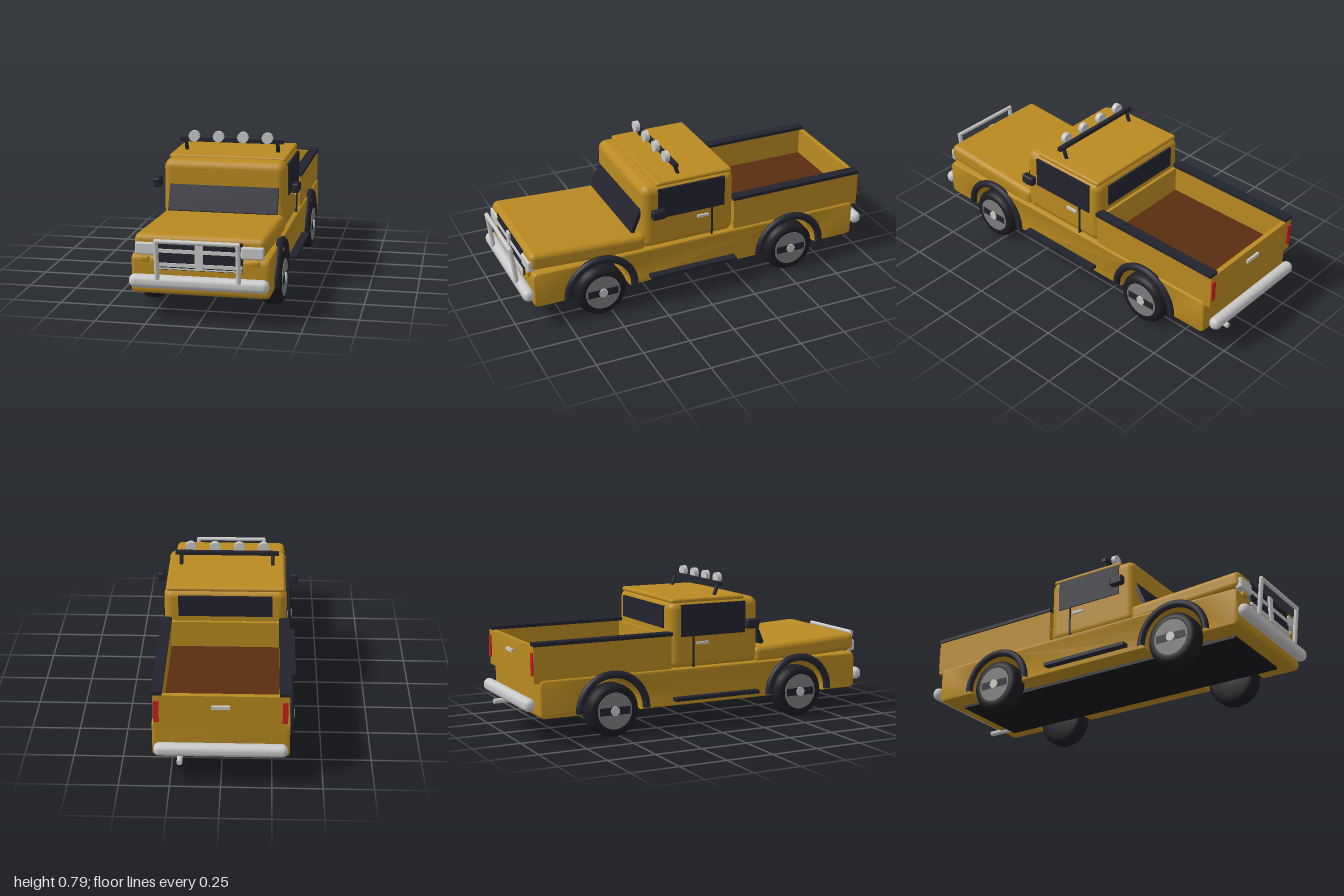
import * as THREE from 'three';
import { toCreasedNormals } from 'three/addons/utils/BufferGeometryUtils.js';
import { RoundedBoxGeometry } from 'three/addons/geometries/RoundedBoxGeometry.js';

const mat = (name, color) => {
  const m = new THREE.MeshStandardMaterial({ color });
  m.name = name;
  return m;
};

export function createModel() {
  const truck = new THREE.Group();
  truck.name = 'pickupTruck';
  const paint = mat('goldPaint', 0xb98a20);
  const dark = mat('darkTrim', 0x23232f);
  const rubber = mat('tyreRubber', 0x1c1c22);
  const under = mat('underside', 0x17171c);
  const silver = mat('silver', 0xc8c8c8);
  const rimGrey = mat('rimGrey', 0x7c7c7e);
  const wood = mat('bedBrown', 0x5a2d10);
  const red = mat('tailRed', 0xcc1f1f);

  const add = (name, geo, m, x = 0, y = 0, z = 0, parent = truck) => {
    const mesh = new THREE.Mesh(geo, m);
    mesh.name = name;
    mesh.position.set(x, y, z);
    parent.add(mesh);
    return mesh;
  };
  const box = (name, m, w, h, d, x, y, z, parent) =>
    add(name, new THREE.BoxGeometry(w, h, d), m, x, y, z, parent);
  const round = (name, m, w, h, d, r, x, y, z) =>
    add(name, new RoundedBoxGeometry(w, h, d, 4, r), m, x, y, z);
  // Straight rod between two points
  const rod = (name, m, r, a, b) => {
    const p = new THREE.Vector3(...a), q = new THREE.Vector3(...b);
    const mesh = add(name, new THREE.CylinderGeometry(r, r, p.distanceTo(q), 16), m);
    mesh.position.copy(p).add(q).multiplyScalar(0.5);
    mesh.quaternion.setFromUnitVectors(new THREE.Vector3(0, 1, 0), q.sub(p).normalize());
    return mesh;
  };

  const axleY = 0.1375, axles = [0.555, -0.535];

  // Lower body: side profile with open wheel arches
  const [z0, z1, y0, y1, c, archR] = [-0.925, 0.918, 0.125, 0.32, 0.03, 0.16];
  const dz = Math.sqrt(archR ** 2 - (axleY - y0) ** 2);
  const a0 = Math.atan2(y0 - axleY, dz);
  const s = new THREE.Shape();
  s.moveTo(z0 + c, y0);
  for (const z of [...axles].reverse()) {
    s.lineTo(z - dz, y0);
    s.absarc(z, axleY, archR, Math.PI - a0, a0, true);
  }
  s.lineTo(z1 - c, y0);
  s.quadraticCurveTo(z1, y0, z1, y0 + c);
  s.lineTo(z1, y1 - c);
  s.quadraticCurveTo(z1, y1, z1 - c, y1);
  s.lineTo(z0 + c, y1);
  s.quadraticCurveTo(z0, y1, z0, y1 - c);
  s.lineTo(z0, y0 + c);
  s.quadraticCurveTo(z0, y0, z0 + c, y0);
  const bodyGeo = new THREE.ExtrudeGeometry(s, {
    depth: 0.63, curveSegments: 28, bevelEnabled: true,
    bevelThickness: 0.02, bevelSize: 0.008, bevelOffset: -0.008, bevelSegments: 4,
  });
  bodyGeo.translate(0, 0, -0.315);
  bodyGeo.rotateY(-Math.PI / 2);
  add('lowerBody', toCreasedNormals(bodyGeo, 0.6), paint);
  box('chassisPlate', under, 0.456, 0.02, 1.68, 0, 0.12, 0);

  // Hood, cab and roof
  round('hood', paint, 0.64, 0.095, 0.63, 0.03, 0, 0.362, 0.61).rotation.x = -0.05;
  round('cab', paint, 0.64, 0.36, 0.52, 0.045, 0, 0.485, 0.055);
  round('roofCap', paint, 0.616, 0.025, 0.425, 0.012, 0, 0.664, 0.02);
  box('windscreen', dark, 0.57, 0.14, 0.02, 0, 0.47, 0.332).rotation.x = -0.4;
  box('rearWindow', dark, 0.49, 0.115, 0.012, 0, 0.578, -0.207);

  // Cargo bed
  box('bedFloor', wood, 0.57, 0.04, 0.73, 0, 0.325, -0.575);
  box('bedFrontWall', paint, 0.64, 0.185, 0.02, 0, 0.397, -0.212);
  box('tailgate', paint, 0.65, 0.185, 0.025, 0, 0.397, -0.94);
  box('tailgateHandle', silver, 0.09, 0.018, 0.014, 0, 0.43, -0.957);

  // Front grille
  box('grillePanel', dark, 0.42, 0.145, 0.03, 0, 0.328, 0.912);
  box('grilleCentre', silver, 0.038, 0.14, 0.014, 0, 0.33, 0.931);
  for (const [y, h] of [[0.348, 0.018], [0.28, 0.018], [0.262, 0.006]])
    box('grilleBar', silver, 0.42, h, 0.01, 0, y, 0.928);

  // Bumpers, bull bar and exhaust
  round('frontBumper', silver, 0.68, 0.066, 0.06, 0.029, 0, 0.198, 0.94);
  round('rearBumper', silver, 0.65, 0.066, 0.06, 0.029, 0, 0.198, -0.97);
  rod('bullBarTop', silver, 0.011, [-0.205, 0.408, 0.985], [0.205, 0.408, 0.985]);
  rod('exhaust', silver, 0.014, [0.2, 0.125, -0.8], [0.2, 0.125, -0.98]);

  // Roof light bar
  box('lightBar', dark, 0.554, 0.02, 0.022, 0, 0.735, 0.108);
  for (const x of [-0.195, -0.065, 0.065, 0.195])
    add('roofLamp', new THREE.CylinderGeometry(0.029, 0.029, 0.025, 28), silver, x, 0.758, 0.132)
      .rotation.x = Math.PI / 2;

  // Parts repeated on both sides
  for (const k of [-1, 1]) {
    box('sideWindow', dark, 0.012, 0.165, 0.375, k * 0.32, 0.5625, 0.0425);
    box('doorSeam', dark, 0.014, 0.19, 0.008, k * 0.32, 0.395, -0.075);
    box('doorHandle', silver, 0.018, 0.014, 0.065, k * 0.322, 0.443, -0.022);
    round('mirror', dark, 0.038, 0.05, 0.075, 0.01, k * 0.366, 0.53, 0.247);
    box('runningBoard', dark, 0.05, 0.018, 0.49, k * 0.352, 0.164, 0.045);

    box('bedWall', paint, 0.042, 0.185, 0.745, k * 0.304, 0.397, -0.575);
    box('bedRail', dark, 0.053, 0.018, 0.755, k * 0.3065, 0.499, -0.575);
    box('tailLight', red, 0.026, 0.115, 0.014, k * 0.309, 0.402, -0.952);

    round('headlight', silver, 0.11, 0.062, 0.04, 0.01, k * 0.257, 0.355, 0.915);
    round('indicator', paint, 0.044, 0.026, 0.03, 0.007, k * 0.268, 0.303, 0.917);
    rod('bullBarPost', silver, 0.012, [k * 0.197, 0.215, 0.962], [k * 0.197, 0.408, 0.985]);
    rod('lightBarPost', dark, 0.01, [k * 0.245, 0.665, 0.083], [k * 0.245, 0.735, 0.108]);

    for (const z of axles) {
      // Wheel arch trim
      const arch = add('archTrim', new THREE.TorusGeometry(0.184, 0.02, 12, 36, Math.PI),
        dark, k * 0.336, axleY, z);
      arch.rotation.y = Math.PI / 2;

      // Wheel, built along +y and turned to point outwards
      const wheel = new THREE.Group();
      wheel.name = 'wheel';
      wheel.position.set(k * 0.305, axleY, z);
      wheel.rotation.z = -k * Math.PI / 2;
      truck.add(wheel);
      const profile = [[0, -0.05], [0.11, -0.052], [0.128, -0.045], [0.1365, -0.03], [0.1375, 0],
        [0.1365, 0.03], [0.128, 0.045], [0.11, 0.052], [0.094, 0.05], [0, 0.046]]
        .map(([r, y]) => new THREE.Vector2(r, y));
      add('tyre', toCreasedNormals(new THREE.LatheGeometry(profile, 40), 0.7), rubber, 0, 0, 0, wheel);
      add('rim', new THREE.CylinderGeometry(0.094, 0.094, 0.01, 36), rimGrey, 0, 0.048, 0, wheel);
      box('rimSlot', dark, 0.04, 0.004, 0.165, 0, 0.053, 0, wheel);
      add('hub', new THREE.CylinderGeometry(0.024, 0.024, 0.02, 24), silver, 0, 0.05, 0, wheel);
    }
  }
  return truck;
}
